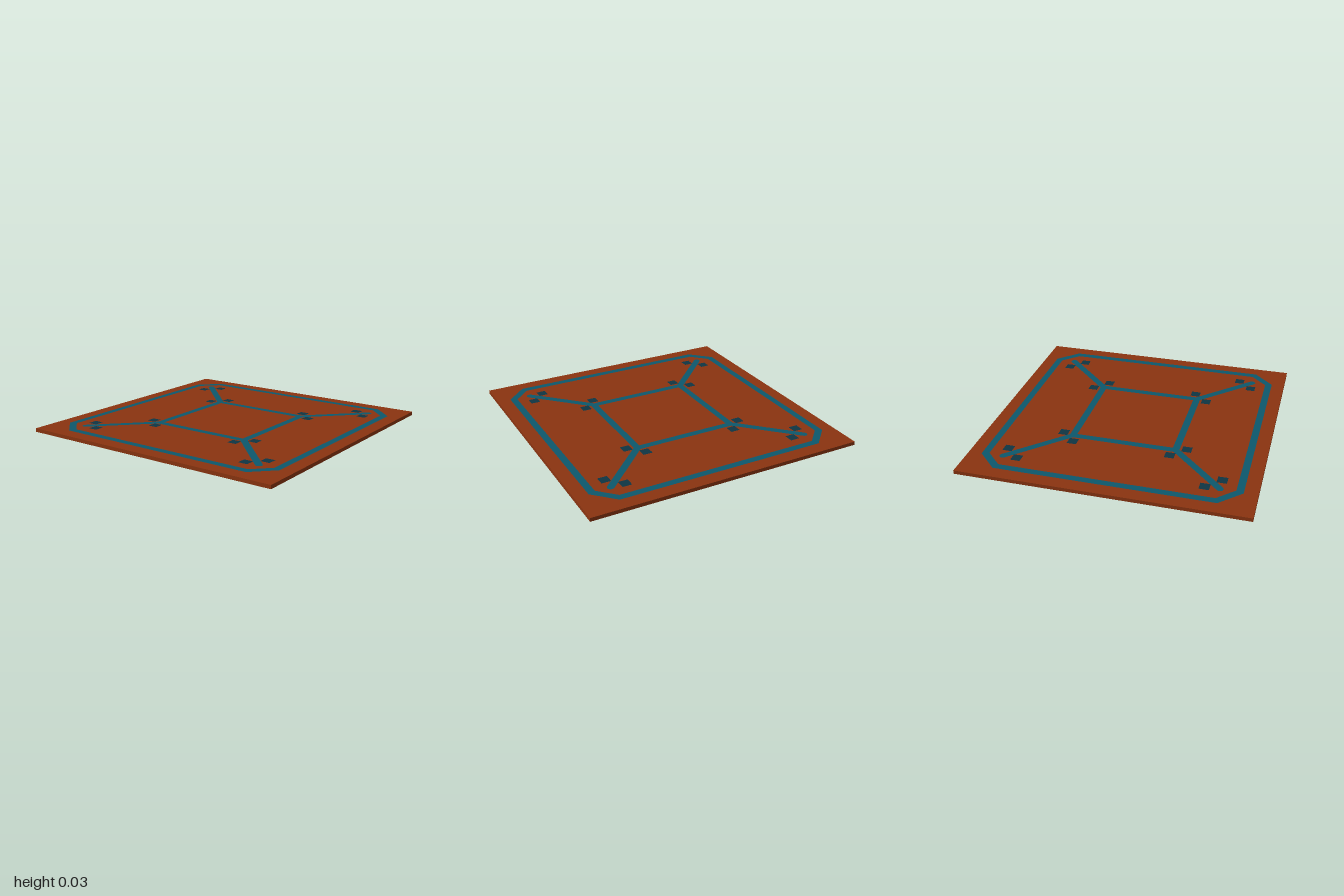
import * as THREE from 'three';

const TOP = 0.026; // height of the slab's upper face

export function createModel() {
  const model = new THREE.Group();
  const material = (name, color) => {
    const m = new THREE.MeshStandardMaterial({ color });
    m.name = name;
    return m;
  };
  const rust = material('rust', 0x8b3410);
  const teal = material('teal', 0x0d586c);
  const navy = material('darkTeal', 0x0f3644);

  const add = (name, geometry, mat, parent = model) => {
    const mesh = new THREE.Mesh(geometry, mat);
    mesh.name = name;
    parent.add(mesh);
    return mesh;
  };
  // Flat inlay lying on the slab, drawn in plan
  const inlay = (name, shape, mat, lift, parent) => {
    const g = new THREE.ShapeGeometry(shape, 4);
    g.rotateX(-Math.PI / 2);
    g.translate(0, TOP + lift, 0);
    return add(name, g, mat, parent);
  };
  const polygon = (pts) => pts.map(([x, y]) => new THREE.Vector2(x, y));
  const octagon = (r, c) => polygon([
    [r, -c], [r, c], [c, r], [-c, r], [-r, c], [-r, -c], [-c, -r], [c, -r],
  ]);
  const square = (r) => polygon([[-r, -r], [r, -r], [r, r], [-r, r]]);
  const ring = (outer, inner) => {
    const s = new THREE.Shape(outer);
    s.holes.push(new THREE.Path(inner));
    return s;
  };

  // Base slab
  const slab = new THREE.BoxGeometry(2, TOP, 2);
  slab.translate(0, TOP / 2, 0);
  add('slab', slab, rust);

  // Border band with cut corners, and the central square band
  inlay('outerBand', ring(octagon(0.905, 0.76), octagon(0.855, 0.74)), teal, 0.002);
  inlay('innerBand', ring(square(0.4), square(0.35)), teal, 0.002);

  // Diagonal spoke with a rounded outer end
  const w = 0.025;
  const start = 0.375 * Math.SQRT2;
  const end = 0.75 * Math.SQRT2;
  const spoke = new THREE.Shape();
  spoke.moveTo(start, -w);
  spoke.lineTo(end, -w);
  spoke.absarc(end, 0, w, -Math.PI / 2, Math.PI / 2, false);
  spoke.lineTo(start, w);

  // Each corner: one spoke and two pairs of square studs
  const studs = [[0.75, 0.65], [0.65, 0.75], [0.45, 0.35], [0.35, 0.45]];
  for (let i = 0; i < 4; i++) {
    const corner = new THREE.Group();
    corner.name = 'corner' + (i + 1);
    corner.rotation.y = i * Math.PI / 2;
    model.add(corner);
    inlay('spoke', spoke, teal, 0.0025, corner).rotation.y = Math.PI / 4;
    for (const [x, z] of studs) {
      inlay('stud', new THREE.Shape(square(0.034)), navy, 0.003, corner).position.set(x, 0, z);
    }
  }
  return model;
}
